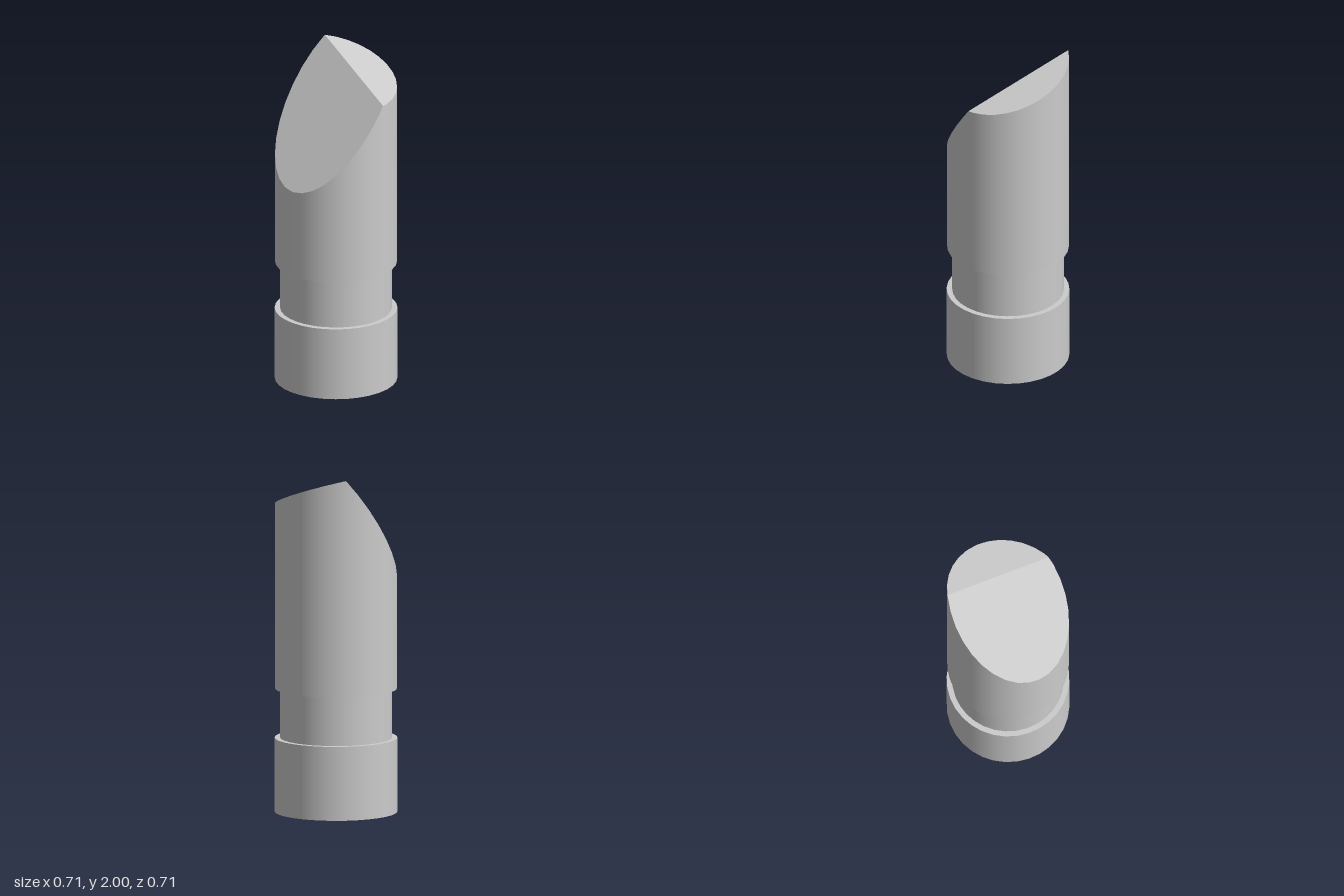
import * as THREE from 'three';

const SIDES = 32;
const material = new THREE.MeshStandardMaterial({ color: 0xcccccc });

function addMesh(group, name, geometry, y = 0) {
  const mesh = new THREE.Mesh(geometry, material);
  mesh.name = name;
  mesh.position.y = y;
  group.add(mesh);
}

// Flat convex polygon as a triangle fan
function polygon(points) {
  const tris = [];
  for (let i = 1; i < points.length - 1; i++) tris.push(points[0], points[i], points[i + 1]);
  const geometry = new THREE.BufferGeometry().setFromPoints(tris);
  geometry.computeVertexNormals();
  return geometry;
}

export function createModel() {
  const model = new THREE.Group();

  // Base and narrower neck
  addMesh(model, 'base', new THREE.CylinderGeometry(0.357, 0.357, 0.435, SIDES), 0.2175);
  addMesh(model, 'neck', new THREE.CylinderGeometry(0.325, 0.325, 0.29, SIDES, 1, true), 0.58);

  // Upper body, cut by a steep front plane and a gently sideways-sloping rear plane
  const r = 0.355, bottom = 0.725;
  const frontPlane = (x, z) => 1.25 + (r - z) * 1.35;
  const rearPlane = (x, z) => 1.898 - 0.343 * x;
  const gap = (p) => frontPlane(p.x, p.z) - rearPlane(p.x, p.z);

  // Outline with extra points where the ridge between the planes meets the wall
  const outline = [], frontEdge = [], rearEdge = [];
  for (let i = 0; i < SIDES; i++) {
    const [p, q] = [i, i + 1].map((k) => {
      const a = (k % SIDES) / SIDES * Math.PI * 2;
      return new THREE.Vector3(r * Math.sin(a), 0, r * Math.cos(a));
    });
    const gp = gap(p), gq = gap(q);
    p.y = Math.min(frontPlane(p.x, p.z), rearPlane(p.x, p.z));
    outline.push(p);
    (gp < 0 ? frontEdge : rearEdge).push(p);
    if (gp * gq < 0) {
      const c = p.clone().lerp(q, gp / (gp - gq));
      c.y = rearPlane(c.x, c.z);
      outline.push(c);
      frontEdge.push(c);
      rearEdge.push(c);
    }
  }

  // Smooth wall from the body's lower rim up to the cut outline
  const positions = [], normals = [], index = [];
  const n = outline.length;
  outline.forEach((p, i) => {
    const d = new THREE.Vector3(p.x, 0, p.z).normalize();
    positions.push(p.x, bottom, p.z, p.x, p.y, p.z);
    normals.push(d.x, 0, d.z, d.x, 0, d.z);
    const a = 2 * i, b = 2 * ((i + 1) % n);
    index.push(a, b, b + 1, a, b + 1, a + 1);
  });
  const wall = new THREE.BufferGeometry();
  wall.setAttribute('position', new THREE.Float32BufferAttribute(positions, 3));
  wall.setAttribute('normal', new THREE.Float32BufferAttribute(normals, 3));
  wall.setIndex(index);

  const body = new THREE.Group();
  body.name = 'upperBody';
  addMesh(body, 'bodyWall', wall);
  addMesh(body, 'frontBevel', polygon(frontEdge));
  addMesh(body, 'rearTop', polygon(rearEdge));
  const rim = outline.map((p) => new THREE.Vector3(p.x, bottom, p.z)).reverse();
  addMesh(body, 'bodyUnderside', polygon(rim));
  model.add(body);

  return model;
}
